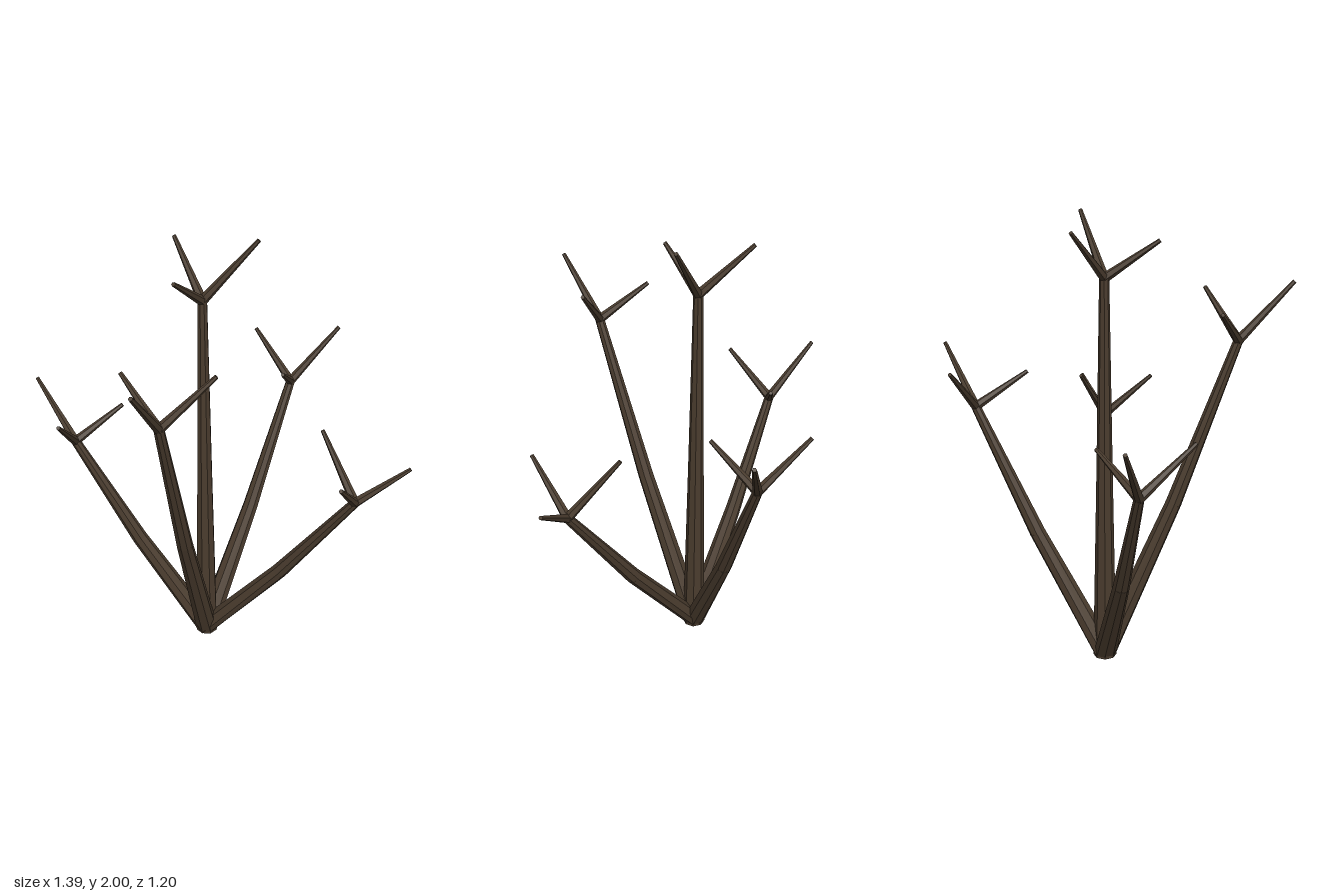
import * as THREE from 'three';

const bark = new THREE.MeshStandardMaterial({ color: 0x4a3c2e, flatShading: true });
const UP = new THREE.Vector3(0, 1, 0);

// Tapered limb between two points, flattened where it meets the ground
function limb(name, a, b, rA, rB, sides) {
  const dir = b.clone().sub(a);
  const geo = new THREE.CylinderGeometry(rB, rA, dir.length(), sides);
  geo.applyQuaternion(new THREE.Quaternion().setFromUnitVectors(UP, dir.clone().normalize()));
  const mid = a.clone().add(b).multiplyScalar(0.5);
  geo.translate(mid.x, mid.y, mid.z);
  const pos = geo.attributes.position;
  for (let i = 0; i < pos.count; i++) pos.setY(i, Math.max(0, pos.getY(i)));
  geo.computeVertexNormals();
  const mesh = new THREE.Mesh(geo, bark);
  mesh.name = name;
  return mesh;
}

// Each branch: fork point, then the tips of its three twigs
const branches = [
  { name: 'centreBranch', fork: [-0.075, 1.74, -0.075],
    tips: [[0.14, 1.995, 0], [-0.245, 1.895, 0.075], [-0.115, 1.945, -0.3]] },
  { name: 'frontRightBranch', fork: [-0.42, 1.46, 0.39],
    tips: [[-0.2, 1.66, 0.425], [-0.57, 1.71, 0.565], [-0.5, 1.61, 0.175]] },
  { name: 'backRightBranch', fork: [-0.58, 1.0, -0.4],
    tips: [[-0.35, 1.145, -0.4], [-0.69, 1.2, -0.2], [-0.69, 1.25, -0.595]] },
  { name: 'backLeftBranch', fork: [0.46, 1.14, -0.345],
    tips: [[0.69, 1.39, -0.325], [0.33, 1.29, -0.15], [0.365, 1.34, -0.55]] },
  { name: 'frontLeftBranch', fork: [0.42, 0.945, 0.43],
    tips: [[0.64, 1.1, 0.49], [0.26, 1.145, 0.595], [0.36, 1.195, 0.21]] },
];

export function createModel() {
  const model = new THREE.Group();
  model.name = 'branchingPlant';
  const root = new THREE.Vector3(-0.075, 0, -0.07);

  for (const { name, fork, tips } of branches) {
    const group = new THREE.Group();
    group.name = name;
    const top = new THREE.Vector3(...fork);
    // Slight outward bend halfway up
    const out = top.clone().sub(root).setY(0);
    const bend = root.clone().lerp(top, 0.5);
    if (out.length() > 0.1) bend.addScaledVector(out.normalize(), 0.02);
    group.add(limb('lowerStem', root, bend, 0.053, 0.036, 8));
    group.add(limb('upperStem', bend, top, 0.036, 0.021, 8));
    // Three twigs spreading from the fork
    for (const tip of tips) {
      group.add(limb('twig', top, new THREE.Vector3(...tip), 0.021, 0.009, 6));
    }
    model.add(group);
  }
  return model;
}
